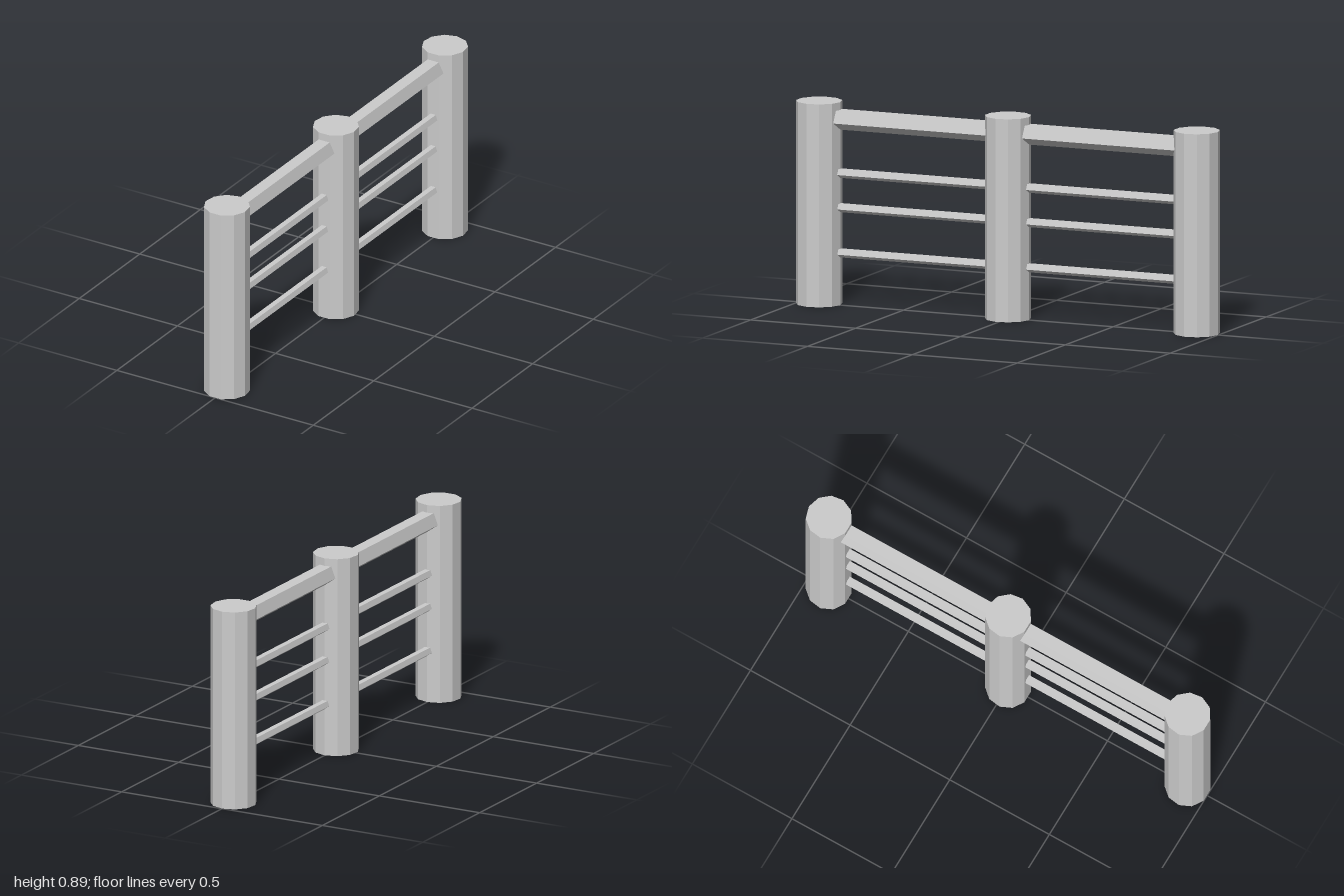
import * as THREE from 'three';

const POST_RADIUS = 0.101;
const POST_HEIGHT = 0.893;
const POST_SPACING = 0.9;

export function createModel() {
  const fence = new THREE.Group();
  fence.name = 'fence';
  const material = new THREE.MeshStandardMaterial({
    color: 0xcccccc, flatShading: true, side: THREE.DoubleSide,
  });

  // Eleven-sided posts: capped on top, open underneath
  const postGeometry = new THREE.LatheGeometry([
    new THREE.Vector2(POST_RADIUS, 0),
    new THREE.Vector2(POST_RADIUS, POST_HEIGHT),
    new THREE.Vector2(0, POST_HEIGHT),
  ], 11, Math.PI);
  ['backPost', 'middlePost', 'frontPost'].forEach((name, i) => {
    const post = new THREE.Mesh(postGeometry, material);
    post.name = name;
    post.position.z = (i - 1) * POST_SPACING + 0.002;
    fence.add(post);
  });

  // Five-sided rails, flat side up, sunk slightly into the posts
  const railLength = POST_SPACING - 2 * 0.085;
  const rails = [
    ['handRail', 0.82, 0.048],
    ['upperRail', 0.582, 0.022],
    ['middleRail', 0.43, 0.021],
    ['lowerRail', 0.231, 0.021],
  ];
  for (const [name, y, radius] of rails) {
    const geometry = new THREE.CylinderGeometry(radius, radius, railLength, 5);
    geometry.rotateX(Math.PI / 2);
    for (const side of [-1, 1]) {
      const rail = new THREE.Mesh(geometry, material);
      rail.name = (side < 0 ? 'back ' : 'front ') + name;
      rail.position.set(0, y, side * POST_SPACING / 2);
      fence.add(rail);
    }
  }
  return fence;
}
